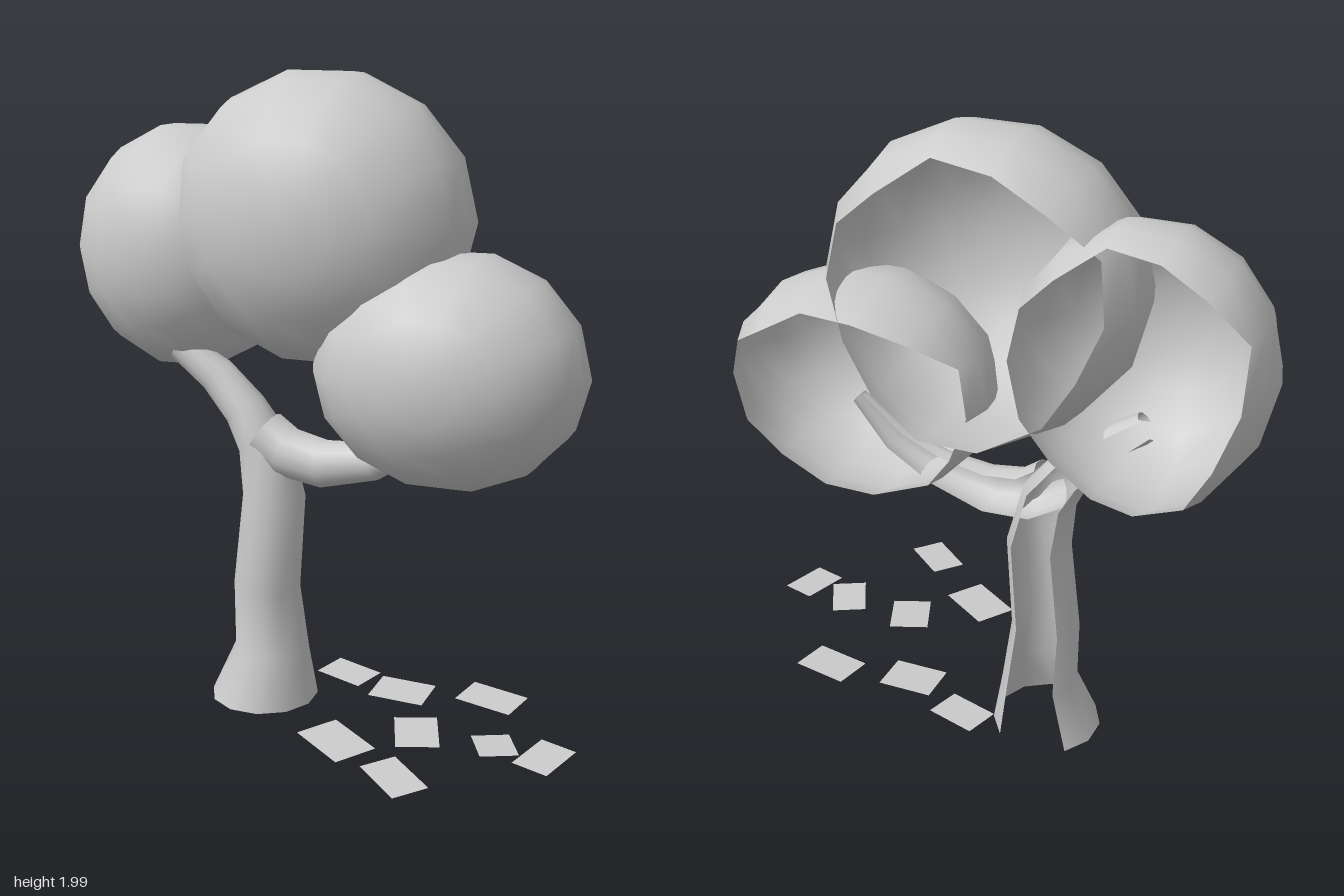
import * as THREE from 'three';

const TURN = -0.357; // the tree faces a little to its right
const FRONT = new THREE.Vector3(0, 0, 1).applyAxisAngle(new THREE.Vector3(0, 1, 0), TURN);
const material = new THREE.MeshStandardMaterial({ color: 0xcccccc, side: THREE.DoubleSide });

function part(name, geometry) {
  const mesh = new THREE.Mesh(geometry, material);
  mesh.name = name;
  return mesh;
}

// Foliage: an ellipsoid shell, open at the back with a slightly ragged rim.
// Around the angle "lip" the rim reaches further back and runs straighter ("flat").
// Angles as seen from the front: 0 left, PI/2 down, PI right, 3 PI/2 up.
function foliage(name, center, radii, rim, reach, lip, flat) {
  const segments = 14;
  const geometry = new THREE.SphereGeometry(1, segments, 7, 0, Math.PI * 2, 0, 3);
  const { position, normal, uv } = geometry.attributes;
  for (let i = 0; i < position.count; i++) {
    const v = 1 - uv.getY(i);
    const column = Math.round(uv.getX(i) * segments) % segments;
    const phi = (column / segments) * Math.PI * 2;
    const weight = Math.max(0, Math.cos(phi - lip)) ** 2;
    const ragged = 0.08 * Math.sin(column * 2.3) * v ** 4;
    const theta = v * (rim + reach * weight * v) + ragged;
    const straight = theta > Math.PI / 2 ? flat * weight : 0;
    const s = Math.sin(theta) + straight * (1 - Math.sin(theta));
    const c = Math.cos(theta);
    position.setXYZ(i, -Math.cos(phi) * s, -Math.sin(phi) * s, c);
    normal.setXYZ(i, -Math.cos(phi) * s, -Math.sin(phi) * s, c * (1 - straight));
  }
  geometry.scale(...radii).rotateY(TURN).translate(...center);
  geometry.normalizeNormals();
  return part(name, geometry);
}

// Wood: rings [x, y, z, radius] joined into a tube left open at the back
function openTube(name, rings, arc) {
  const sides = 9;
  const points = rings.map(([x, y, z]) => new THREE.Vector3(x, y, z));
  const positions = [], index = [];
  rings.forEach((ring, i) => {
    const along = points[Math.min(i + 1, points.length - 1)].clone()
      .sub(points[Math.max(i - 1, 0)]).normalize();
    const side = along.clone().cross(FRONT).normalize();
    const out = side.clone().cross(along);
    for (let j = 0; j <= sides; j++) {
      const a = (j / sides - 0.5) * arc;
      const p = points[i].clone()
        .addScaledVector(out, Math.cos(a) * ring[3])
        .addScaledVector(side, Math.sin(a) * ring[3]);
      positions.push(p.x, ring[1] === 0 ? 0 : p.y, p.z);
      if (i && j) {
        const d = i * (sides + 1) + j, c = d - 1, b = d - sides - 1, e = b - 1;
        index.push(e, b, d, e, d, c);
      }
    }
  });
  const geometry = new THREE.BufferGeometry();
  geometry.setAttribute('position', new THREE.Float32BufferAttribute(positions, 3));
  geometry.setIndex(index);
  geometry.computeVertexNormals();
  return part(name, geometry);
}

export function createModel() {
  const tree = new THREE.Group();
  tree.name = 'tree';

  // Trunk flowing into the right branch, and the left branch
  tree.add(openTube('trunk', [
    [-0.195, 0, -0.135, 0.175], [-0.17, 0.17, -0.125, 0.12], [-0.185, 0.38, -0.125, 0.107],
    [-0.16, 0.68, -0.12, 0.1], [-0.19, 0.85, -0.13, 0.085], [-0.25, 0.95, -0.16, 0.07],
    [-0.34, 1.05, -0.2, 0.06], [-0.46, 1.14, -0.225, 0.045],
  ], 4.9));
  tree.add(openTube('branch', [
    [-0.19, 0.88, -0.125, 0.08], [-0.12, 0.83, -0.095, 0.08], [0, 0.81, -0.035, 0.075],
    [0.15, 0.84, 0.035, 0.06], [0.29, 0.92, 0.08, 0.045], [0.4, 1.05, 0.1, 0.025],
  ], 4.2));

  // Three clumps of foliage
  tree.add(foliage('rightFoliage', [-0.43, 1.43, -0.4], [0.37, 0.395, 0.345], 2.0, 0.5, 0.9, 0.6));
  tree.add(foliage('topFoliage', [-0.005, 1.555, -0.138], [0.475, 0.45, 0.365], 2.12, 0.42, 1.57, 0.75));
  tree.add(foliage('leftFoliage', [0.375, 1.13, 0.07], [0.42, 0.36, 0.335], 1.97, 0.45, 4.5, 0.5));

  // Fallen leaves: x, y, z, width, length, turn, tilt
  const leaves = new THREE.Group();
  leaves.name = 'fallenLeaves';
  [
    [0.045, 0.085, 0.38, 0.14, 0.205, 0.61, 0.05],
    [0.21, 0.105, 0.635, 0.115, 0.185, 0.5, 0.06],
    [0.51, 0.085, 0.4, 0.115, 0.15, 0.1, -0.06],
    [0.645, 0.09, 0.48, 0.115, 0.165, -0.65, 0.06],
    [0.285, 0.08, 0.31, 0.13, 0.17, 0, 0.07],
    [0.08, 0.05, -0.18, 0.12, 0.17, 0.9, 0.05],
    [0.25, 0.06, -0.02, 0.14, 0.18, 1.2, 0.05],
    [0.53, 0.065, 0.04, 0.13, 0.19, 1, 0.06],
  ].forEach(([x, y, z, width, length, turn, tilt]) => {
    const leaf = part('leaf', new THREE.PlaneGeometry(width, length).rotateX(-Math.PI / 2));
    leaf.position.set(x, y, z);
    leaf.rotation.set(tilt, turn, 0);
    leaves.add(leaf);
  });
  tree.add(leaves);
  return tree;
}
